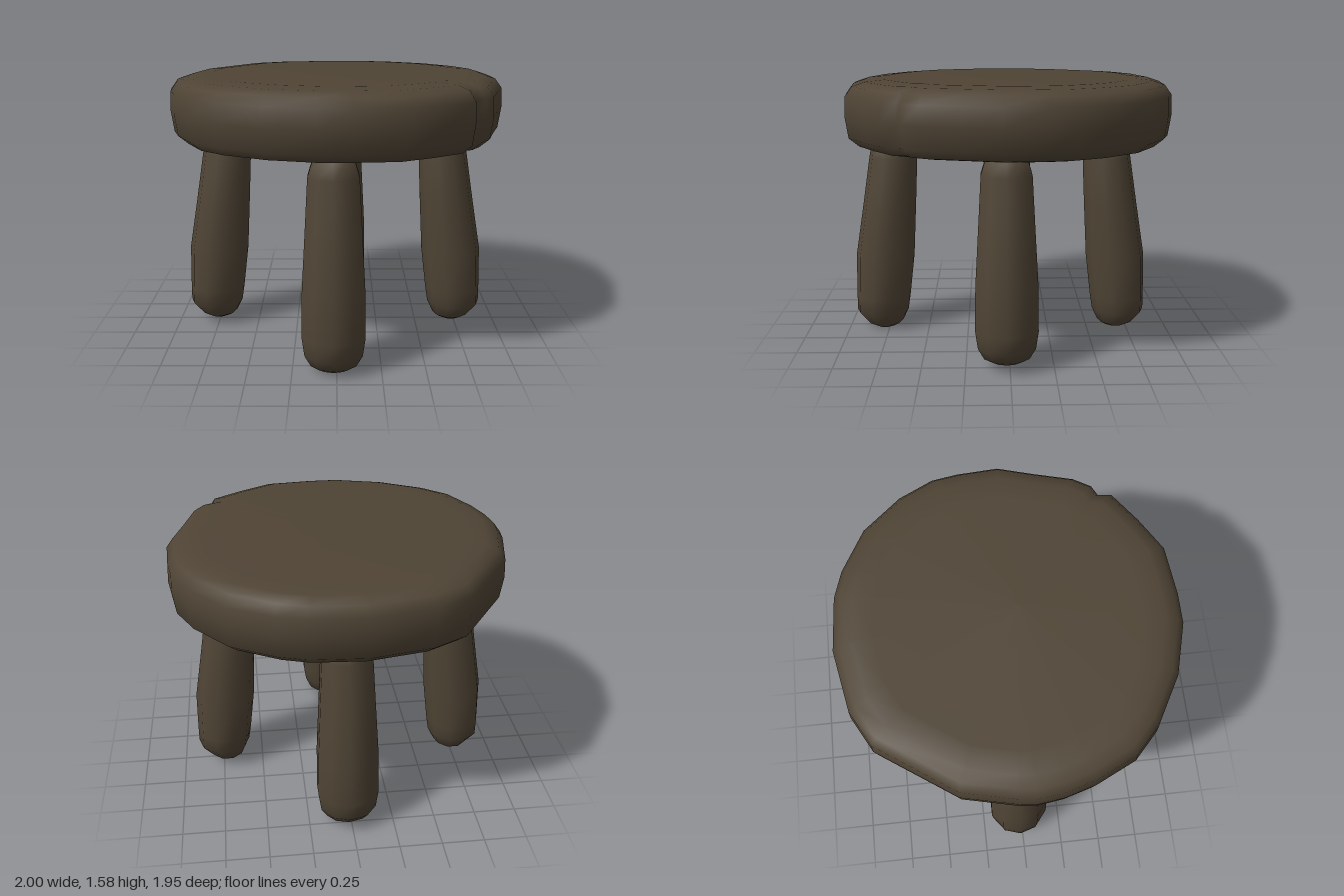
import * as THREE from 'three';

const wood = new THREE.MeshStandardMaterial({ color: 0x4f4435 });
wood.name = 'dark wood';

// Skin a stack of closed rings (bottom to top) and close both ends.
function loft(rings) {
  const n = rings[0].length, pos = [], idx = [];
  rings.forEach(r => r.forEach(p => pos.push(...p)));
  for (let k = 0; k < rings.length - 1; k++) {
    for (let i = 0; i < n; i++) {
      const a = k * n + i, b = k * n + (i + 1) % n;
      idx.push(a, b, b + n, a, b + n, a + n);
    }
  }
  const addCap = (ring, start, up) => {
    const c = pos.length / 3;
    pos.push(...[0, 1, 2].map(j => ring.reduce((s, p) => s + p[j], 0) / n));
    for (let i = 0; i < n; i++) {
      const a = start + i, b = start + (i + 1) % n;
      idx.push(...(up ? [c, a, b] : [c, b, a]));
    }
  };
  addCap(rings[0], 0, false);
  addCap(rings[rings.length - 1], (rings.length - 1) * n, true);
  const g = new THREE.BufferGeometry();
  g.setAttribute('position', new THREE.Float32BufferAttribute(pos, 3));
  g.setIndex(idx);
  g.computeVertexNormals();
  return g;
}

// Hand-hewn seat outline (x, z), with a notch near the front left edge.
const outline = [
  [0.08, 0.97], [0.37, 0.94], [0.57, 0.82], [0.75, 0.69], [0.76, 0.61], [0.82, 0.58],
  [0.88, 0.48], [0.94, 0.25], [1.0, 0.04], [0.985, -0.2], [0.96, -0.35], [0.86, -0.55],
  [0.67, -0.77], [0.42, -0.91], [0.26, -0.96], [-0.06, -0.98], [-0.42, -0.91], [-0.62, -0.8],
  [-0.92, -0.36], [-0.99, -0.05], [-1.0, 0.05], [-0.98, 0.2], [-0.93, 0.37], [-0.82, 0.6],
  [-0.67, 0.74], [-0.4, 0.89], [-0.1, 0.97],
];
// Seat edge profile: height and outline scale
const seatProfile = [[1.185, 0.84], [1.2, 0.92], [1.25, 0.98], [1.38, 1], [1.49, 0.995], [1.545, 0.955], [1.57, 0.88], [1.58, 0.76]];

// Leg rings: height, inner edge, outer edge, half width
const legProfile = [
  [0.0, 0.71, 0.85, 0.08], [0.025, 0.67, 0.89, 0.13], [0.1, 0.635, 0.96, 0.165], [0.2, 0.62, 0.96, 0.18],
  [0.46, 0.59, 0.955, 0.178], [0.8, 0.573, 0.9, 0.16], [1.09, 0.56, 0.855, 0.145], [1.19, 0.6, 0.835, 0.115],
];
const legSides = 10;

function createLeg(name, turn, inset, lift) {
  const rings = legProfile.map(([y, inner, outer, w]) =>
    Array.from({ length: legSides }, (_, i) => {
      const a = (i / legSides) * Math.PI * 2;
      return [
        -0.018 + w * Math.sin(a) * 1.03,
        y + lift * Math.max(0, 1 - y),
        (inner + outer) / 2 - inset + Math.cos(a) * (outer - inner) / 2,
      ];
    }));
  const leg = new THREE.Mesh(loft(rings), wood);
  leg.name = name;
  leg.rotation.y = turn;
  return leg;
}

export function createModel() {
  const stool = new THREE.Group();
  stool.name = 'stool';

  const seat = new THREE.Mesh(
    loft(seatProfile.map(([y, s]) => outline.map(([x, z]) => [x * s, y, z * s]))), wood);
  seat.name = 'seat';
  stool.add(seat);

  // Four splayed legs, one per side
  stool.add(
    createLeg('frontLeg', 0, 0, 0),
    createLeg('leftLeg', Math.PI / 2, 0.055, 0.03),
    createLeg('backLeg', Math.PI, 0.095, 0.01),
    createLeg('rightLeg', -Math.PI / 2, 0.028, 0.03),
  );
  return stool;
}
